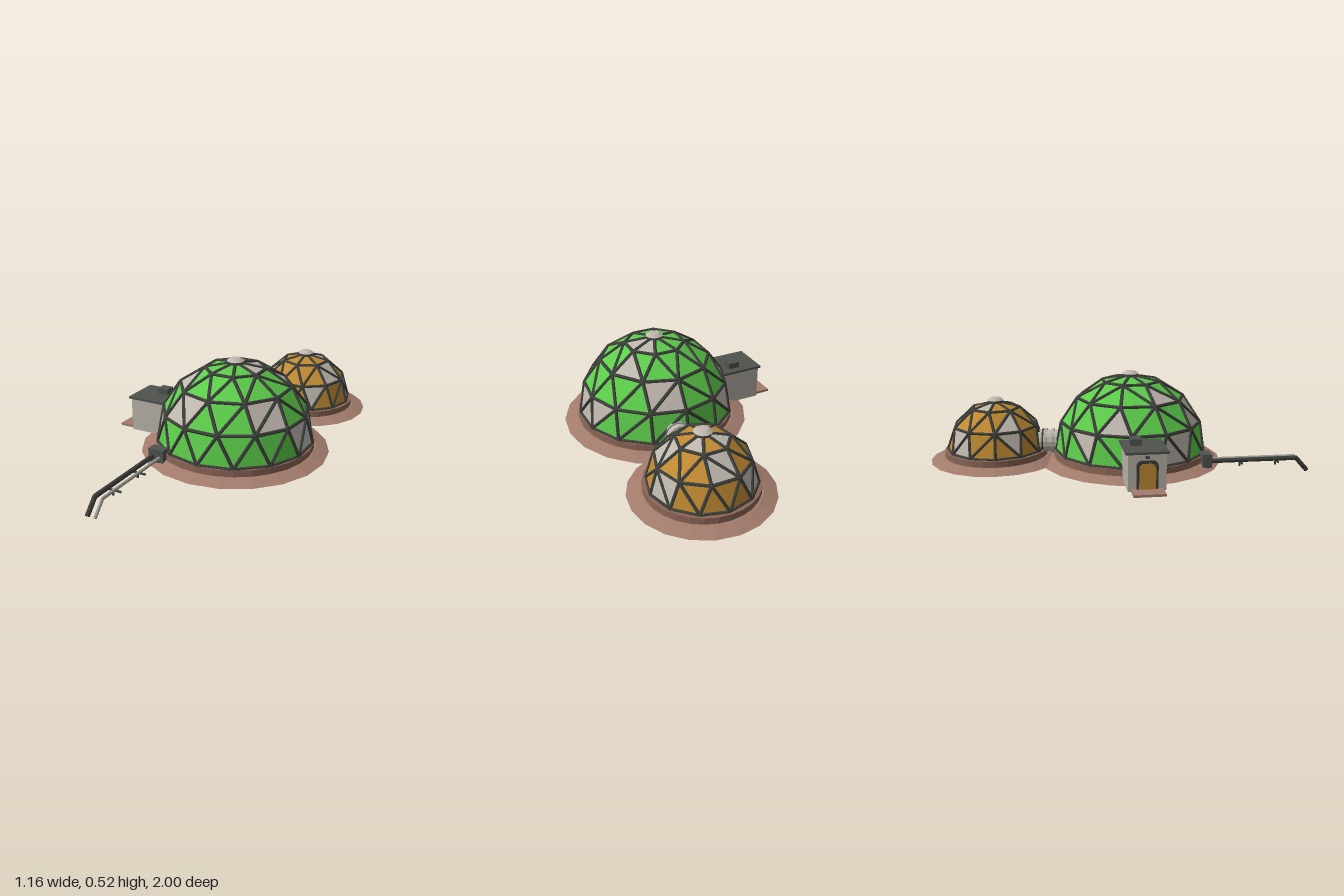
import * as THREE from 'three';
import { mergeGeometries } from 'three/addons/utils/BufferGeometryUtils.js';

const mat = (name, color, extra = {}) =>
  Object.assign(new THREE.MeshStandardMaterial({ color, flatShading: true, ...extra }), { name });

export function createModel() {
  const M = {
    green: mat('green glass', 0x5ccc4a),
    amber: mat('amber glass', 0xc08a32),
    pale: mat('pale panel', 0xbfb8ae),
    strut: mat('dark frame', 0x3c3e3a),
    soil: mat('brown soil', 0xa27c6c),
    ring: mat('brown foundation', 0x8c6556),
    wall: mat('grey wall', 0xb6b1a7),
    roof: mat('dark grey roof', 0x50524e),
    pipe: mat('light pipe', 0x9a9c96),
  };
  const model = new THREE.Group();
  const add = (parent, name, geo, material, x = 0, y = 0, z = 0) => {
    const m = new THREE.Mesh(geo, material);
    m.name = name;
    m.position.set(x, y, z);
    parent.add(m);
    return m;
  };
  const V = (x, y, z) => new THREE.Vector3(x, y, z);
  const UP = V(0, 1, 0);

  // Rod between two points
  const rod = (a, b, r, sides = 6) => {
    const d = b.clone().sub(a);
    const g = new THREE.CylinderGeometry(r, r, d.length(), sides);
    g.applyQuaternion(new THREE.Quaternion().setFromUnitVectors(UP, d.normalize()));
    const c = a.clone().add(b).multiplyScalar(0.5);
    return g.translate(c.x, c.y, c.z);
  };

  // Geodesic dome: rings with fewer and fewer points, zipped into triangles
  function dome(name, o) {
    const g = new THREE.Group();
    g.name = name;
    g.position.set(o.x, 0, o.z);
    model.add(g);
    const base = 0.095, bands = o.counts.length;
    const ring = k => {
      if (k === bands) return null;
      const phi = (k / bands) * Math.PI / 2, n = o.counts[k], r = o.r * Math.cos(phi);
      return {
        n,
        ang: i => (i + (k % 2) * 0.5) / n * Math.PI * 2,
        at(i) {
          const t = this.ang(i);
          return V(Math.sin(t) * r, base + o.h * Math.sin(phi), Math.cos(t) * r);
        },
      };
    };
    const apex = V(0, base + o.h, 0);
    const glass = [], pale = [], rods = [];
    const panel = (band, a, b, c) => {
      const m = a.clone().add(b).add(c);
      const deg = THREE.MathUtils.radToDeg(Math.atan2(m.x, m.z));
      const isPale = o.pale[band].some(p => Math.abs(((deg - p + 540) % 360) - 180) < o.tol[band]);
      (isPale ? pale : glass).push(...a.toArray(), ...b.toArray(), ...c.toArray());
    };
    const strut = (a, b) => rods.push(rod(a, b, o.strut));
    for (let k = 0; k < bands; k++) {
      const A = ring(k), B = ring(k + 1);
      for (let i = 0; i < A.n; i++) strut(A.at(i), A.at(i + 1));
      if (!B) {
        for (let i = 0; i < A.n; i++) {
          panel(k, A.at(i), A.at(i + 1), apex);
          strut(A.at(i), apex);
        }
        continue;
      }
      let i = 0, j = 0;
      while (i < A.n || j < B.n) {
        strut(A.at(i), B.at(j));
        const stepA = j >= B.n || (i < A.n && A.ang(i + 0.5) <= B.ang(j + 0.5));
        if (stepA) { panel(k, A.at(i), A.at(i + 1), B.at(j)); i++; }
        else { panel(k, A.at(i), B.at(j + 1), B.at(j)); j++; }
      }
    }
    const faces = list => {
      const geo = new THREE.BufferGeometry();
      geo.setAttribute('position', new THREE.Float32BufferAttribute(list, 3));
      geo.computeVertexNormals();
      return geo;
    };
    add(g, 'glassPanels', faces(glass), o.glass);
    add(g, 'palePanels', faces(pale), M.pale);
    add(g, 'struts', mergeGeometries(rods), M.strut);

    // Soil apron, foundation ring and top vent
    add(g, 'soilApron', new THREE.CylinderGeometry(o.ringR + 0.01, o.apron, 0.024, 20), M.soil, 0, 0.047 + o.lift, 0);
    add(g, 'foundation', new THREE.CylinderGeometry(o.ringR, o.ringR, 0.04, 28), M.ring, 0, 0.073, 0);
    const top = base + o.h;
    add(g, 'ventCollar', new THREE.CylinderGeometry(0.036, 0.04, 0.012, 12), M.strut, 0, top - 0.001, 0);
    add(g, 'ventCap', new THREE.LatheGeometry([[0, 0], [0.036, 0], [0.046, 0.005], [0.026, 0.018], [0, 0.02]]
      .map(p => new THREE.Vector2(...p)), 12), M.pale, 0, top + 0.004, 0);
    return g;
  }

  const big = { x: 0.09, z: 0.08 }, small = { x: 0.185, z: -0.645 };
  dome('mainDome', {
    ...big, r: 0.405, h: 0.4, counts: [14, 13, 10, 8], strut: 0.009, glass: M.green,
    ringR: 0.414, apron: 0.49, lift: 0,
    pale: [[-62, 78, 100, -135], [-32, -18, 55, 165, -105], [120, -60], [70, 150]],
    tol: [9, 9, 11, 22],
  });
  dome('smallDome', {
    ...small, r: 0.26, h: 0.255, counts: [12, 10, 7], strut: 0.008, glass: M.amber,
    ringR: 0.278, apron: 0.354, lift: 0.001,
    pale: [[30, 105, -140, -60], [60, 90, 180, -70], [0, 110, -130]],
    tol: [10, 12, 25],
  });

  // Ribbed tunnel joining the domes
  const tunnel = new THREE.Group();
  tunnel.name = 'tunnel';
  model.add(tunnel);
  const from = V(big.x, 0.13, big.z), to = V(small.x, 0.13, small.z);
  const along = t => from.clone().lerp(to, t);
  add(tunnel, 'tunnelTube', rod(along(0.46), along(0.7), 0.06, 16), M.pale);
  for (const t of [0.52, 0.575, 0.63])
    add(tunnel, 'tunnelRib', rod(along(t - 0.01), along(t + 0.01), 0.068, 16), M.wall);
  for (const t of [0.505, 0.65])
    add(tunnel, 'tunnelCollar', rod(along(t - 0.006), along(t + 0.006), 0.066, 16), M.strut);

  // Entrance block on the side of the main dome
  const entry = new THREE.Group();
  entry.name = 'entrance';
  entry.position.z = 0.076;
  model.add(entry);
  const box = (parent, name, material, w, h, d, x, y, z) =>
    add(parent, name, new THREE.BoxGeometry(w, h, d), material, x, y, z);
  box(entry, 'walls', M.wall, 0.24, 0.185, 0.185, -0.377, 0.136, 0);
  box(entry, 'roof', M.roof, 0.235, 0.012, 0.208, -0.388, 0.231, 0);
  box(entry, 'roofUnit', M.roof, 0.062, 0.032, 0.056, -0.36, 0.252, -0.036);
  box(entry, 'doorStep', M.soil, 0.1, 0.012, 0.155, -0.535, 0.05, 0);
  const arch = (w, h) => {
    const s = new THREE.Shape(), r = 0.03;
    s.moveTo(-w, 0);
    s.lineTo(w, 0);
    s.lineTo(w, h - r);
    s.quadraticCurveTo(w, h, w - r, h);
    s.lineTo(r - w, h);
    s.quadraticCurveTo(-w, h, -w, h - r);
    return s;
  };
  for (const [name, w, h, depth, m] of [['doorFrame', 0.052, 0.138, 0.012, M.strut], ['door', 0.04, 0.125, 0.016, M.amber]]) {
    const d = add(entry, name, new THREE.ExtrudeGeometry(arch(w, h), { depth, bevelEnabled: false }), m, -0.497, 0.057, 0);
    d.rotation.y = -Math.PI / 2;
  }
  box(entry, 'doorLamp', M.strut, 0.016, 0.01, 0.02, -0.505, 0.212, 0);

  // Pipes running out to the front from a junction box
  const pipes = new THREE.Group();
  pipes.name = 'pipework';
  model.add(pipes);
  box(pipes, 'junctionBox', M.roof, 0.086, 0.072, 0.05, -0.152, 0.081, 0.445);
  for (const [name, x, r, m] of [['darkPipe', -0.173, 0.012, M.strut], ['lightPipe', -0.131, 0.008, M.pipe]]) {
    const bend = V(x, 0.077, 0.93);
    const elbow = new THREE.SphereGeometry(r, 10, 6).translate(bend.x, bend.y, bend.z);
    add(pipes, name, mergeGeometries([
      rod(V(x, 0.077, 0.44), bend, r, 10), elbow, rod(bend, V(x, 0.008, 0.992), r, 10),
    ]), m);
  }
  for (const z of [0.63, 0.825]) {
    box(pipes, 'pipeBracket', M.strut, 0.09, 0.008, 0.008, -0.152, 0.064, z);
    box(pipes, 'pipeLeg', M.strut, 0.008, 0.026, 0.008, -0.152, 0.05, z);
  }
  return model;
}
